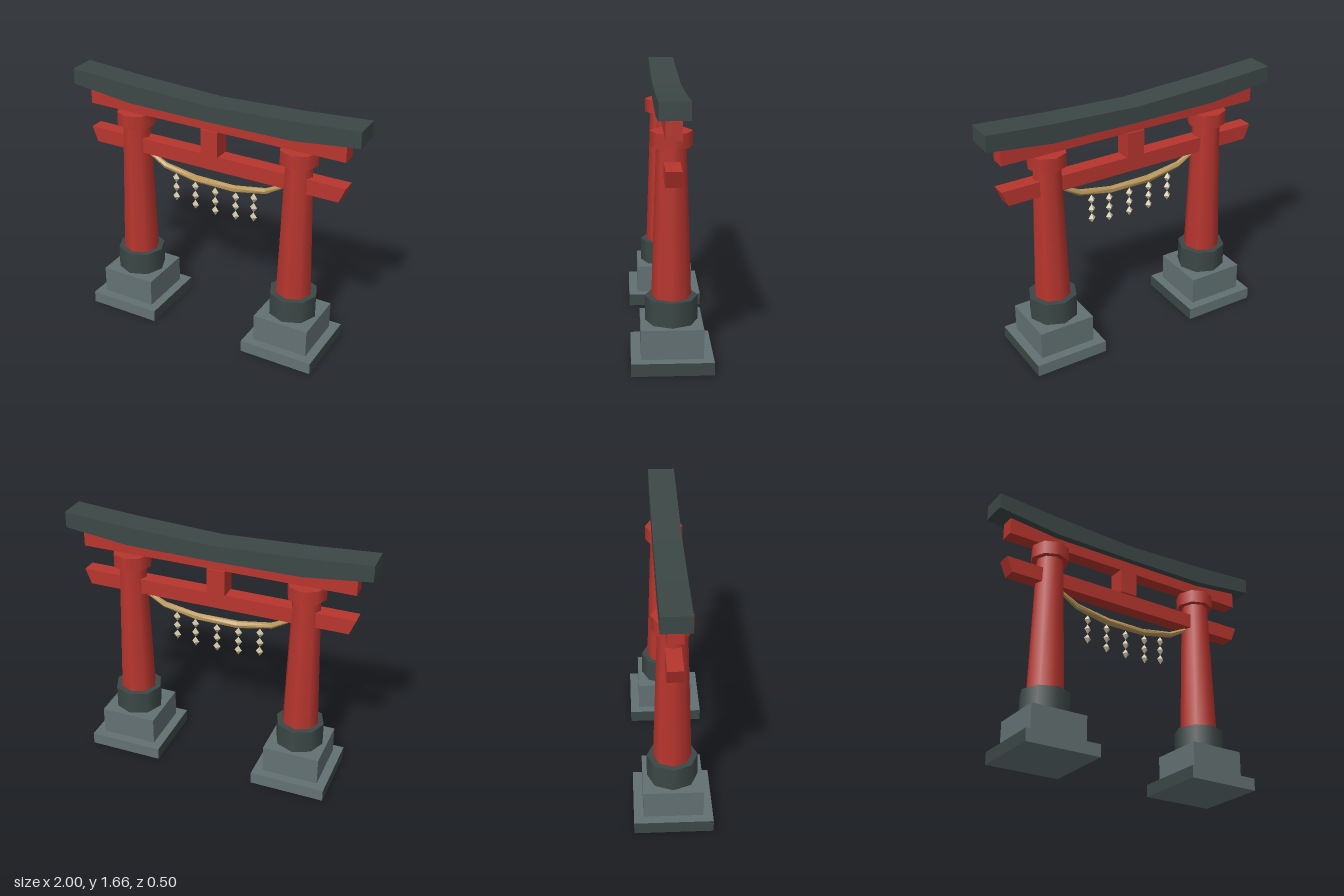
import * as THREE from 'three';

const mat = (name, color, extra = {}) => {
  const m = new THREE.MeshStandardMaterial({ color, ...extra });
  m.name = name;
  return m;
};

export function createModel() {
  const red = mat('vermilion', 0xb8352e);
  const dark = mat('dark slate', 0x3c4846);
  const stone = mat('grey stone', 0x637173);
  const straw = mat('straw', 0xb8965a, { flatShading: true });
  const paper = mat('pale paper', 0xcfc5a6, { flatShading: true });

  const model = new THREE.Group();
  model.name = 'gate';
  const add = (parent, name, geo, material, x = 0, y = 0, z = 0) => {
    const mesh = new THREE.Mesh(geo, material);
    mesh.name = name;
    mesh.position.set(x, y, z);
    parent.add(mesh);
    return mesh;
  };
  const box = (parent, name, m, w, d, y0, y1, x = 0) =>
    add(parent, name, new THREE.BoxGeometry(w, y1 - y0, d), m, x, (y0 + y1) / 2);
  const round = (parent, name, m, rTop, rBottom, y0, y1) =>
    add(parent, name, new THREE.CylinderGeometry(rTop, rBottom, y1 - y0, 8), m, 0, (y0 + y1) / 2);

  // A front outline extruded symmetrically in depth
  const slab = (name, m, points, depth) => {
    const shape = new THREE.Shape(points.map(([x, y]) => new THREE.Vector2(x, y)));
    const geo = new THREE.ExtrudeGeometry(shape, { depth, bevelEnabled: false });
    geo.translate(0, 0, -depth / 2);
    return add(model, name, geo, m);
  };

  // Pillars on stepped footings
  for (const side of [-1, 1]) {
    const pillar = new THREE.Group();
    pillar.name = side < 0 ? 'rightPillar' : 'leftPillar';
    pillar.position.x = side * 0.584;
    model.add(pillar);
    box(pillar, 'footingSlab', [dark, dark, stone, stone, stone, stone], 0.496, 0.496, 0, 0.08);
    box(pillar, 'footingBlock', stone, 0.376, 0.376, 0.08, 0.265);
    round(pillar, 'collar', dark, 0.16, 0.16, 0.265, 0.42);
    round(pillar, 'shaft', red, 0.09, 0.12, 0.42, 1.34);
    round(pillar, 'capital', red, 0.126, 0.126, 1.34, 1.43);
  }

  // Beams and centre strut
  slab('tieBeam', red, [[-0.87, 1.16], [0.87, 1.16], [0.91, 1.26], [-0.91, 1.26]], 0.096);
  box(model, 'centreStrut', red, 0.12, 0.12, 1.26, 1.43, -0.01);
  slab('upperBeam', red, [[-0.9, 1.43], [0.9, 1.43], [0.9, 1.54], [0.57, 1.505],
    [-0.57, 1.505], [-0.9, 1.54]], 0.096);

  // Upswept top lintel
  slab('topLintel', dark, [[-1, 1.56], [-0.57, 1.51], [0, 1.505], [0.57, 1.51], [1, 1.56],
    [1, 1.665], [0.57, 1.635], [0, 1.61], [-0.57, 1.635], [-1, 1.665]], 0.18);

  // Sagging rope, thick in the middle and twisting along its length
  const stations = [[-0.52, 1.168, 0.012], [-0.365, 1.083, 0.02], [-0.14, 1.042, 0.024],
    [0.14, 1.042, 0.024], [0.365, 1.083, 0.02], [0.52, 1.168, 0.012]];
  const sides = 6;
  const pos = [], index = [];
  stations.forEach(([x, y, r], i) => {
    const a = stations[Math.max(i - 1, 0)];
    const b = stations[Math.min(i + 1, stations.length - 1)];
    const slope = Math.atan2(b[1] - a[1], b[0] - a[0]);
    for (let j = 0; j < sides; j++) {
      const t = (j / sides) * Math.PI * 2 + i * 0.35;
      const up = r * Math.cos(t);
      pos.push(x - up * Math.sin(slope), y + up * Math.cos(slope), r * Math.sin(t));
      if (i === 0) continue;
      const k = (j + 1) % sides, p = (i - 1) * sides, q = i * sides;
      index.push(p + j, q + j, p + k, q + j, q + k, p + k);
    }
  });
  const ropeGeo = new THREE.BufferGeometry();
  ropeGeo.setAttribute('position', new THREE.Float32BufferAttribute(pos, 3));
  ropeGeo.setIndex(index);
  ropeGeo.computeVertexNormals();
  straw.side = THREE.DoubleSide;
  add(model, 'rope', ropeGeo, straw);

  // Hanging strings of paper diamonds
  const diamond = new THREE.OctahedronGeometry(1).scale(0.025, 0.034, 0.025);
  for (const [x, top] of [[-0.29, 1.01], [-0.145, 0.985], [0.003, 0.98], [0.153, 0.985], [0.282, 1.01]]) {
    const tassel = new THREE.Group();
    tassel.name = 'paperTassel';
    tassel.position.set(x, top, 0);
    model.add(tassel);
    for (let i = 0; i < 3; i++) add(tassel, 'paperDiamond', diamond, paper, 0, -0.067 * i);
  }
  return model;
}
